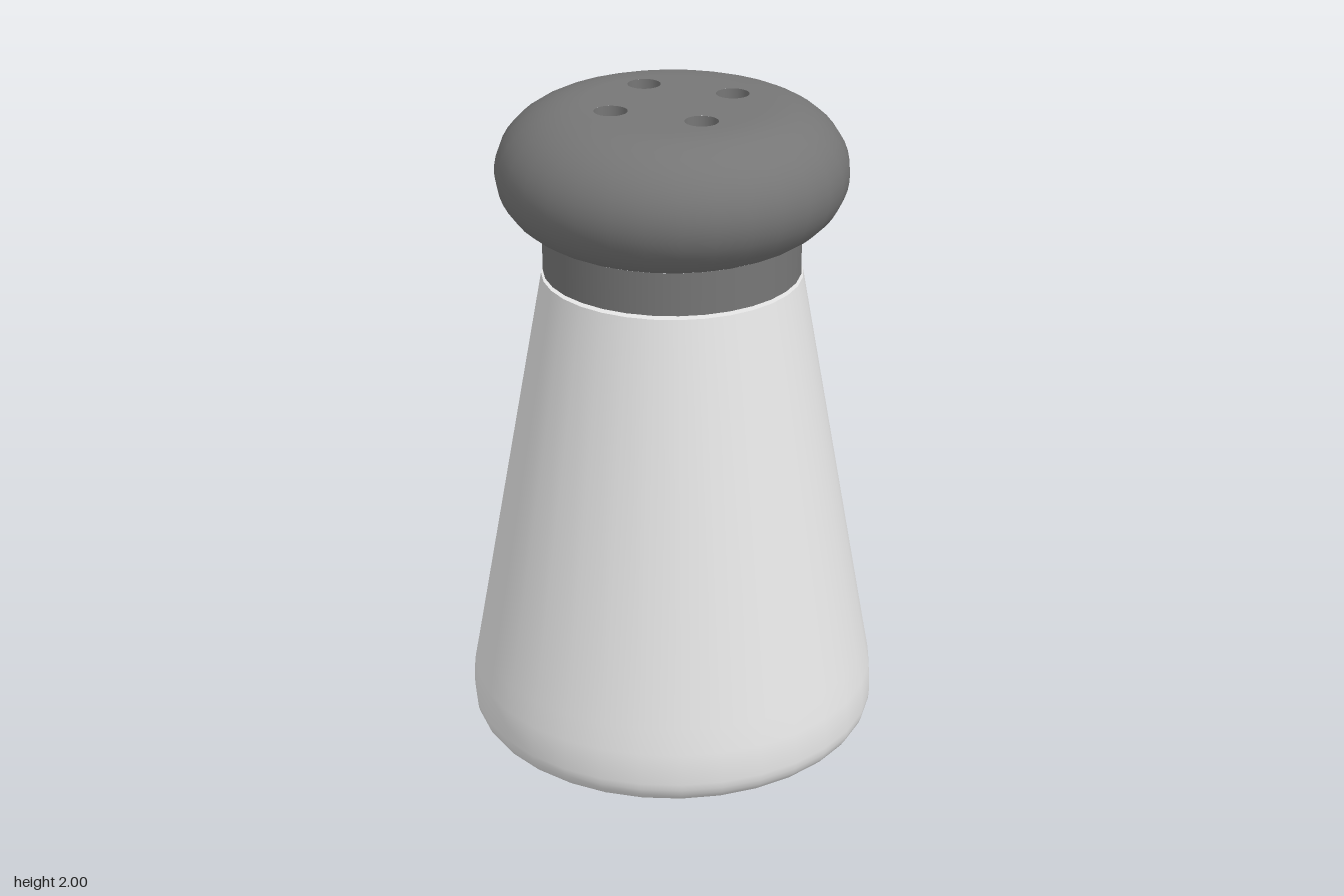
import * as THREE from 'three';

const SEGMENTS = 32;

export function createModel() {
  const group = new THREE.Group();
  const white = new THREE.MeshStandardMaterial({ color: 0xe6e6e6 });
  white.name = 'white body';
  const grey = new THREE.MeshStandardMaterial({ color: 0x767676 });
  grey.name = 'grey cap';

  // Turned surface from [radius, height] points; rising points face outward
  const turn = (name, material, points, segments = SEGMENTS) => {
    const profile = points.map(([r, y]) => new THREE.Vector2(r, y));
    const mesh = new THREE.Mesh(new THREE.LatheGeometry(profile, segments), material);
    mesh.name = name;
    group.add(mesh);
    return mesh;
  };

  // Elliptical arc of profile points, angles in degrees
  const arc = (cx, cy, a, b, from, to, steps) =>
    Array.from({ length: steps + 1 }, (_, i) => {
      const t = THREE.MathUtils.degToRad(from + ((to - from) * i) / steps);
      return [cx + a * Math.cos(t), cy + b * Math.sin(t)];
    });

  // Tapered body with a rounded foot
  turn('base', white, [[0, 0], [0.56, 0]]);
  turn('body', white, [
    ...arc(0.56, 0.08, 0.07, 0.08, -90, 0, 6),
    [0.63, 0.13], [0.625, 0.18], [0.61, 0.26], [0.39, 1.48],
  ]);
  turn('bodyRim', white, [[0.39, 1.48], [0.34, 1.48]]);

  // Cap neck, with a narrower plug sitting in the body
  turn('plug', grey, [[0.345, 1.4], [0.345, 1.49]]);
  turn('neckUnderside', grey, [[0.345, 1.49], [0.385, 1.49]]);
  turn('neck', grey, [[0.385, 1.49], [0.385, 1.62]]);

  // Bulging cap
  turn('cap', grey, [...arc(0.28, 1.8, 0.24, 0.2, -64, 90, 18), [0.27, 2]]);

  // Flat cap top pierced by four round holes
  const top = new THREE.Shape().absarc(0, 0, 0.27, 0, Math.PI * 2);
  for (let i = 0; i < 4; i++) {
    const angle = (i * Math.PI) / 2;
    const x = 0.195 * Math.cos(angle);
    const z = 0.195 * Math.sin(angle);
    top.holes.push(new THREE.Path().absarc(x, -z, 0.049, 0, Math.PI * 2, true));
    turn('holeWall', grey, [[0.049, 2], [0.049, 1.9]]).position.set(x, 0, z);
    turn('holeFloor', grey, [[0.049, 1.9], [0, 1.9]]).position.set(x, 0, z);
  }
  const capTop = new THREE.Mesh(new THREE.ShapeGeometry(top, SEGMENTS), grey);
  capTop.name = 'capTop';
  capTop.rotation.x = -Math.PI / 2;
  capTop.position.y = 2;
  group.add(capTop);

  return group;
}
